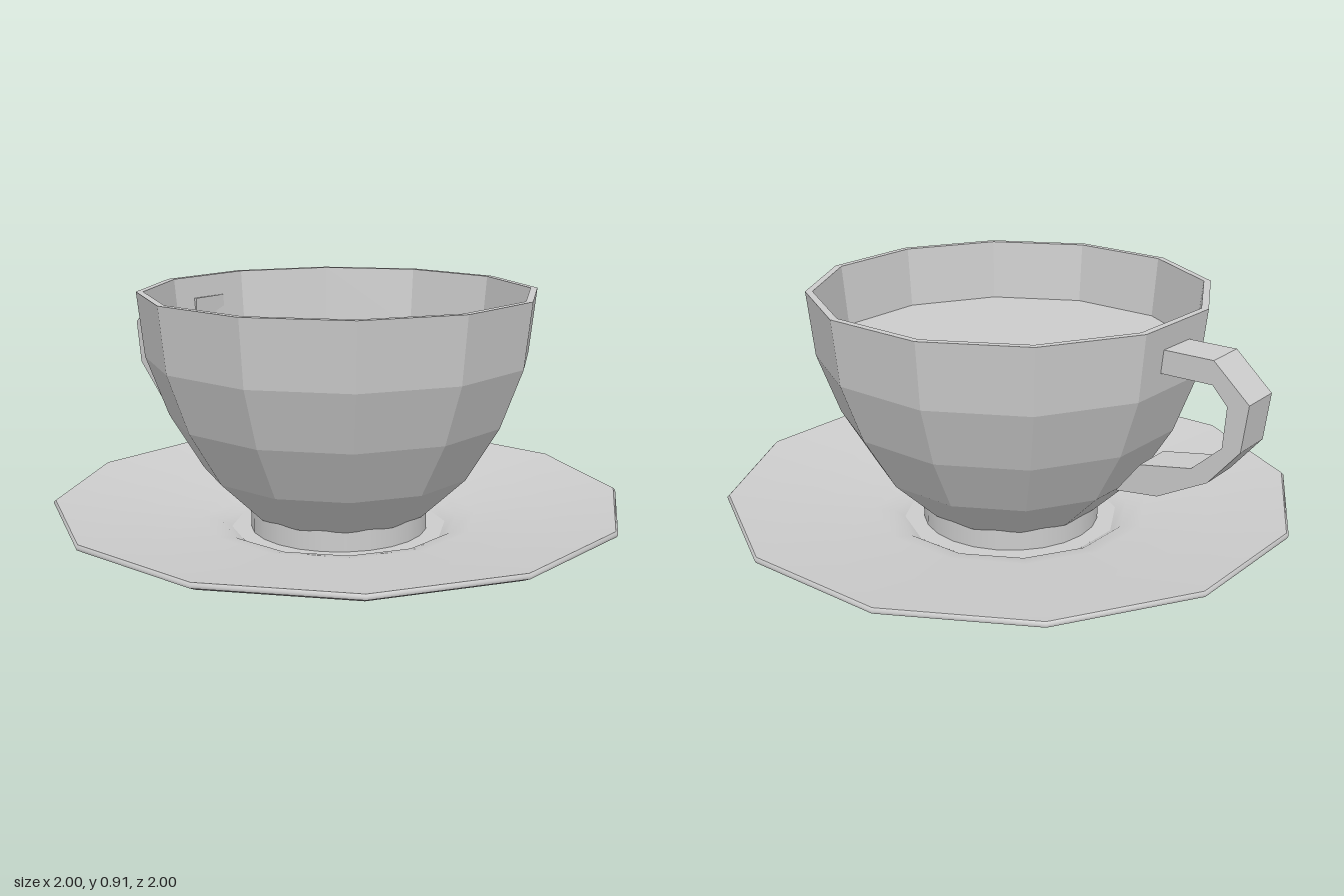
import * as THREE from 'three';

const SIDES = 12;
const PHASE = THREE.MathUtils.degToRad(13);

// Revolve a short [radius, height] profile; listed bottom, outside, then over the top
function lathe(profile, sides = SIDES) {
  return new THREE.LatheGeometry(profile.map(([r, y]) => new THREE.Vector2(r, y)), sides, PHASE);
}

function faceted(geometry) {
  const flat = geometry.toNonIndexed();
  flat.computeVertexNormals();
  return flat;
}

export function createModel() {
  const group = new THREE.Group();
  const porcelain = new THREE.MeshStandardMaterial({ color: 0xcccccc });

  const add = (name, geometry, parent = group) => {
    const mesh = new THREE.Mesh(geometry, porcelain);
    mesh.name = name;
    parent.add(mesh);
  };

  // Saucer: smooth bands that meet at sharp edges
  const saucer = new THREE.Group();
  saucer.name = 'saucer';
  group.add(saucer);
  add('saucerBase', lathe([[0, 0], [0.42, 0]]), saucer);
  add('saucerUnderside', lathe([
    [0.42, 0], [0.413, 0.025], [0.43, 0.045], [0.48, 0.058],
    [0.7, 0.085], [0.92, 0.115], [0.99, 0.13], [1.022, 0.145],
  ]), saucer);
  add('saucerRim', lathe([[1.022, 0.145], [1.026, 0.155], [1.018, 0.163]]), saucer);
  add('saucerTop', lathe([
    [1.018, 0.163], [0.98, 0.157], [0.75, 0.122], [0.5, 0.088], [0.43, 0.075], [0.39, 0.05],
  ]), saucer);
  add('saucerWell', lathe([[0.39, 0.05], [0, 0.05]]), saucer);

  // Cup: faceted shell with a rim and a short inner wall
  const cup = new THREE.Group();
  cup.name = 'cup';
  group.add(cup);
  add('cupFoot', lathe([[0.32, 0.05], [0.32, 0.125]], 24), cup);
  add('cupShell', faceted(lathe([
    [0, 0.12], [0.325, 0.12], [0.487, 0.275], [0.605, 0.47], [0.683, 0.68],
    [0.708, 0.91], [0.683, 0.91], [0.66, 0.68],
  ])), cup);
  add('drinkSurface', lathe([[0.662, 0.69], [0, 0.69]]), cup);

  // Handle: angular loop whose upper end pokes through the cup wall
  const outline = [
    [0.645, 0.83], [0.645, 0.75], [0.85, 0.75], [0.905, 0.69], [0.895, 0.55], [0.79, 0.455],
    [0.6, 0.42], [0.51, 0.305], [0.67, 0.325], [0.85, 0.42], [0.96, 0.55], [0.98, 0.71], [0.85, 0.83],
  ];
  const shape = new THREE.Shape(outline.map(([u, v]) => new THREE.Vector2(u, v)));
  const handle = new THREE.ExtrudeGeometry(shape, { depth: 0.15, bevelEnabled: false });
  handle.rotateY(Math.PI / 2);
  handle.translate(-0.06, 0, 0);
  add('handle', handle, cup);

  return group;
}
